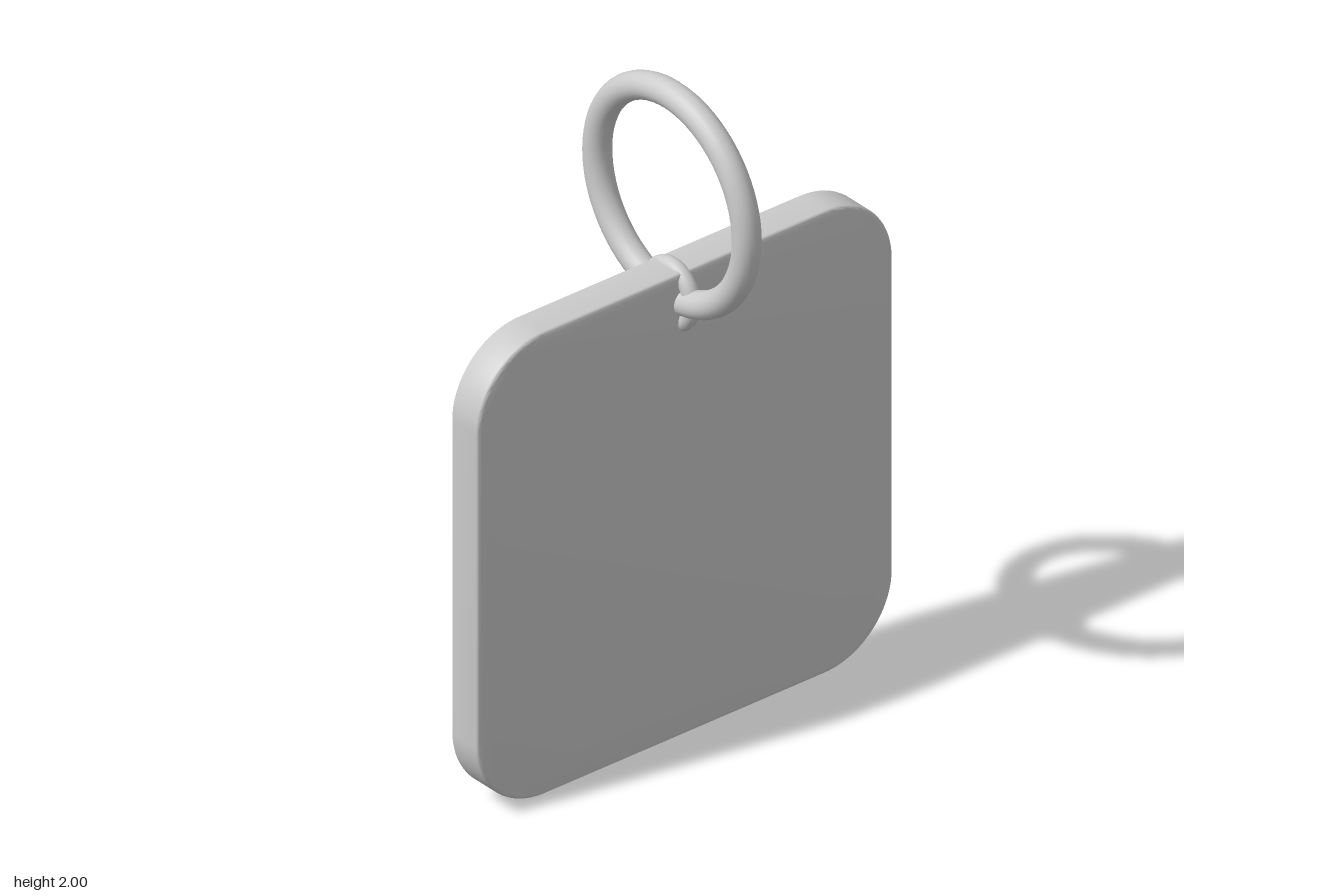
import * as THREE from 'three';
import { toCreasedNormals } from 'three/addons/utils/BufferGeometryUtils.js';

const material = new THREE.MeshStandardMaterial({ color: 0xcccccc });

function part(name, geometry, y) {
  const mesh = new THREE.Mesh(geometry, material);
  mesh.name = name;
  mesh.position.y = y;
  return mesh;
}

// Square with rounded corners, centred on the origin
function roundedSquare(half, radius) {
  const shape = new THREE.Shape();
  const c = half - radius;
  [[c, c], [-c, c], [-c, -c], [c, -c]].forEach(([x, y], i) => {
    shape.absarc(x, y, radius, i * Math.PI / 2, (i + 1) * Math.PI / 2, false);
  });
  shape.closePath();
  return shape;
}

// Ring standing in the side plane
function ring(name, radius, tube, y) {
  const geometry = new THREE.TorusGeometry(radius, tube, 20, 72).rotateY(Math.PI / 2);
  return part(name, geometry, y);
}

export function createModel() {
  const model = new THREE.Group();
  model.name = 'keyTag';

  // Flat tag with softened edges
  const halfDepth = 0.056, bevel = 0.012;
  const plate = new THREE.ExtrudeGeometry(roundedSquare(0.717 - bevel, 0.235 - bevel), {
    depth: 2 * (halfDepth - bevel),
    bevelSize: bevel,
    bevelThickness: bevel,
    bevelSegments: 4,
    curveSegments: 14,
  });
  plate.translate(0, 0, bevel - halfDepth);
  model.add(part('tagPlate', toCreasedNormals(plate, 0.6), 0.722));

  // Small link through the top edge, and the large ring hanging in it
  model.add(ring('smallLink', 0.083, 0.025, 1.347));
  model.add(ring('keyRing', 0.31, 0.04, 1.65));

  return model;
}
